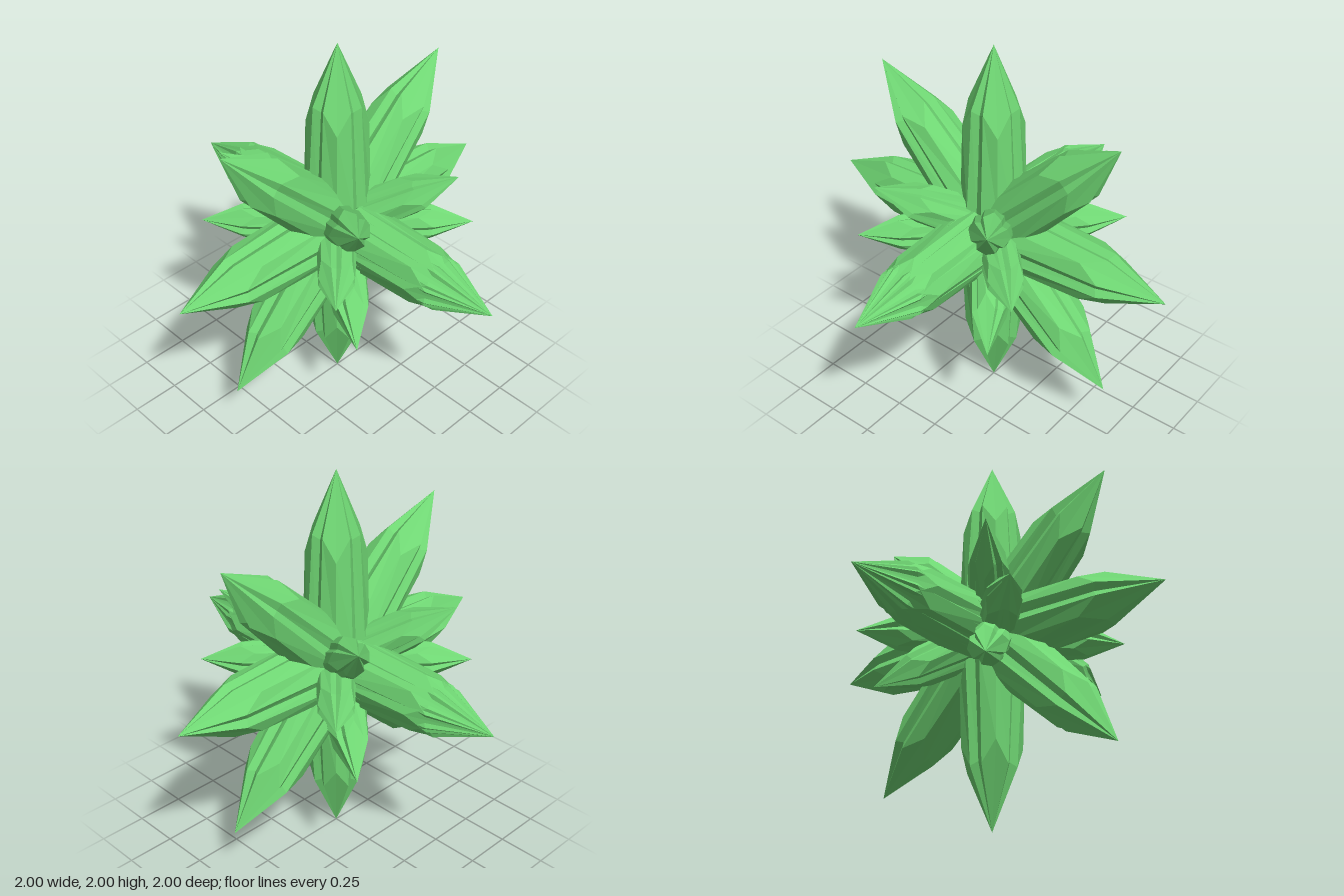
import * as THREE from 'three';

// Faceted spike along +y: four lobes divided by narrow grooves, tip at y = 1.
function spikeGeometry() {
  // per quarter turn: [angle, shoulder radius, shoulder height, base radius]
  const quarter = [
    [-0.27, 0.13, 0.7, 0.163],
    [0, 0.105, 0.68, 0.135],
    [0.27, 0.13, 0.7, 0.163],
    [Math.PI / 4, 0.15, 0.59, 0.165],
  ];
  const shoulder = [], base = [];
  for (let q = 0; q < 4; q++) {
    for (const [angle, r, h, rb] of quarter) {
      const a = angle + q * Math.PI / 2;
      shoulder.push([r * Math.cos(a), h, -r * Math.sin(a)]);
      base.push([rb * Math.cos(a), 0.15, -rb * Math.sin(a)]);
    }
  }
  const positions = [];
  const tri = (a, b, c) => positions.push(...a, ...b, ...c);
  const tip = [0, 1, 0], root = [0, 0, 0];
  for (let i = 0; i < shoulder.length; i++) {
    const j = (i + 1) % shoulder.length;
    tri(tip, shoulder[i], shoulder[j]);
    tri(shoulder[i], base[i], base[j]);
    tri(shoulder[i], base[j], shoulder[j]);
    tri(root, base[j], base[i]);
  }
  const geometry = new THREE.BufferGeometry();
  geometry.setAttribute('position', new THREE.Float32BufferAttribute(positions, 3));
  geometry.computeVertexNormals();
  return geometry;
}

export function createModel() {
  const model = new THREE.Group();
  model.name = 'crystalCluster';
  const burst = new THREE.Group();
  burst.name = 'burst';
  burst.position.y = 1;
  model.add(burst);

  const geometry = spikeGeometry();
  const material = new THREE.MeshStandardMaterial({ color: 0x6fd673, flatShading: true });

  // turn: around the x axis; tilt: from the upright plane towards +x or -x
  function addSpike(name, turn, tilt = 0, size = 1) {
    const arm = new THREE.Group();
    arm.name = name;
    arm.rotation.x = turn;
    const spike = new THREE.Mesh(geometry, material);
    spike.name = name + 'Crystal';
    spike.rotation.z = -tilt;
    spike.scale.setScalar(size);
    arm.add(spike);
    burst.add(arm);
  }

  for (let k = 0; k < 8; k++) {
    const turn = k * Math.PI / 4;
    // long spikes in the upright ring
    addSpike('ringSpike', turn);
    // short slanted spikes on both sides, none straight above or below
    if (k % 4 !== 0) {
      for (const side of [-1, 1]) addSpike('shortSpike', turn, side * Math.PI / 4, 0.68);
    }
  }

  // side spikes: two crystals grown through each other
  for (const side of [-1, 1]) {
    for (const turn of [0, Math.PI / 4]) addSpike('sideSpike', turn, side * Math.PI / 2);
  }
  return model;
}
